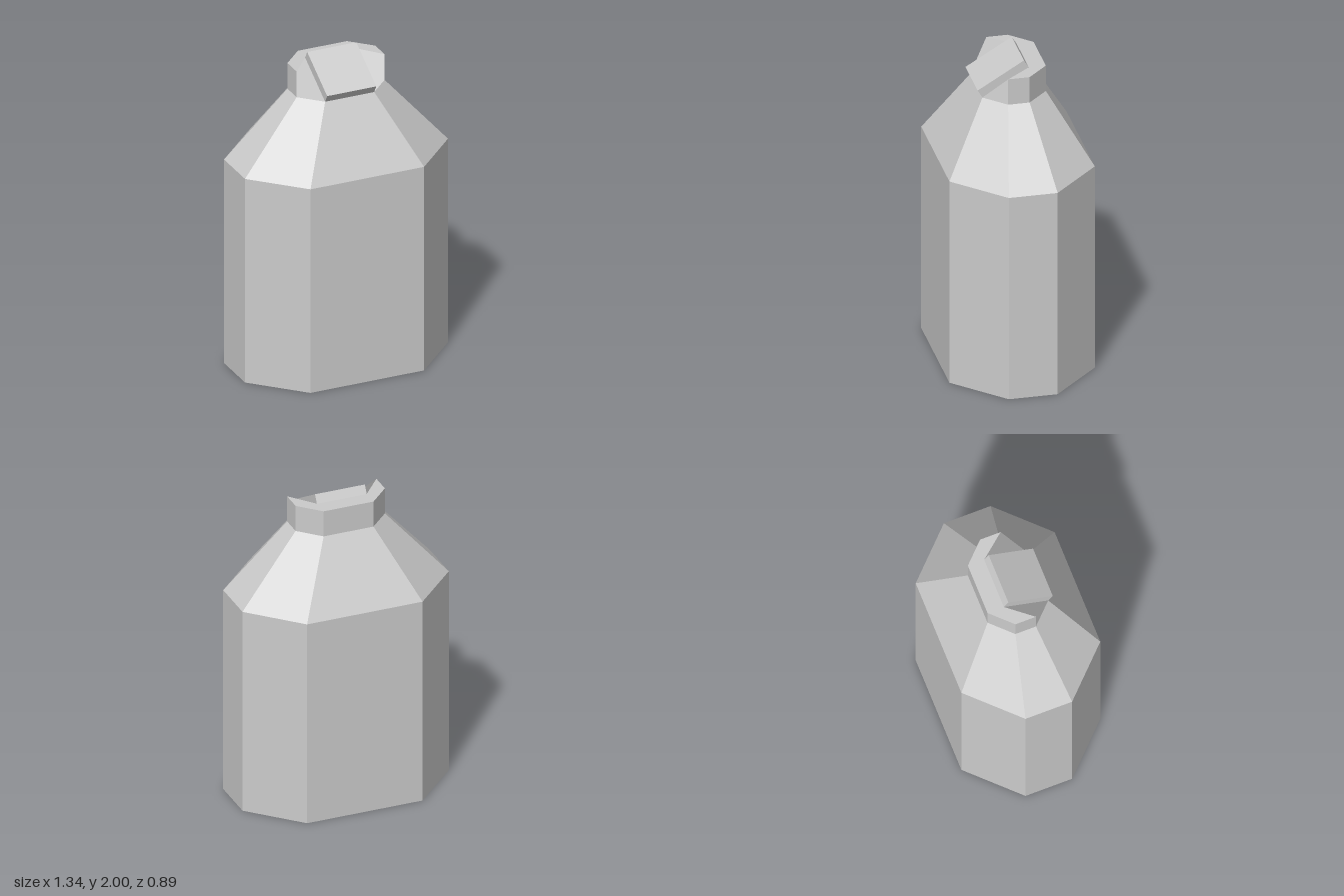
import * as THREE from 'three';

const material = new THREE.MeshStandardMaterial({ color: 0xcccccc });

// Elongated octagon, counter-clockwise from above: X, Z are the extents, x, z the inner corners.
function ring(X, x, Z, z, y) {
  return [[X, z], [X, -z], [x, -Z], [-x, -Z], [-X, -z], [-X, z], [-x, Z], [x, Z]]
    .map(([px, pz]) => new THREE.Vector3(px, y, pz));
}

// Mesh of polygons (corners counter-clockwise from outside), one shading normal each.
function polygonMesh(name, polygons) {
  const position = [], normal = [];
  for (const poly of polygons) {
    const n = new THREE.Vector3();
    poly.forEach((p, i) => n.add(p.clone().cross(poly[(i + 1) % poly.length])));
    n.normalize();
    for (let i = 1; i < poly.length - 1; i++) {
      for (const p of [poly[0], poly[i], poly[i + 1]]) {
        position.push(p.x, p.y, p.z);
        normal.push(n.x, n.y, n.z);
      }
    }
  }
  const geometry = new THREE.BufferGeometry();
  geometry.setAttribute('position', new THREE.Float32BufferAttribute(position, 3));
  geometry.setAttribute('normal', new THREE.Float32BufferAttribute(normal, 3));
  const mesh = new THREE.Mesh(geometry, material);
  mesh.name = name;
  return mesh;
}

// Side quads between two rings.
function loft(lo, hi, count = lo.length) {
  return Array.from({ length: count }, (_, i) => {
    const j = (i + 1) % lo.length;
    return [lo[i], lo[j], hi[j], hi[i]];
  });
}

export function createModel() {
  const model = new THREE.Group();
  model.name = 'bottle';

  const base = ring(0.67, 0.375, 0.447, 0.15, 0);
  const body = ring(0.67, 0.375, 0.447, 0.15, 1.35);
  const neck = ring(0.29, 0.162, 0.195, 0.066, 1.78);
  const rim = ring(0.29, 0.162, 0.195, 0.066, 1.95);

  // Body with closed bottom, and tapered shoulder
  model.add(polygonMesh('body', [...loft(base, body), [...base].reverse()]));
  model.add(polygonMesh('shoulder', loft(body, neck)));

  // Neck: full height at the back, cut away at the front where the cap slopes down
  const cutRight = new THREE.Vector3(0.162, 1.95, -0.09);
  const cutLeft = new THREE.Vector3(-0.162, 1.95, -0.09);
  model.add(polygonMesh('neck', [
    ...loft(neck, rim, 5),
    [neck[7], neck[0], rim[0], cutRight],
    [neck[6], cutLeft, rim[5], neck[5]],
    [cutRight, rim[0], rim[1], rim[2]],
    [cutRight, rim[2], rim[3], cutLeft],
    [cutLeft, rim[3], rim[4], rim[5]],
  ]));

  // Tilted spout cap lying on the cut
  const cap = new THREE.Mesh(new THREE.BoxGeometry(0.324, 0.058, 0.332), material);
  cap.name = 'spoutCap';
  cap.position.set(0, 1.89, 0.067);
  cap.rotation.x = Math.atan2(0.17, 0.285);
  model.add(cap);

  return model;
}
